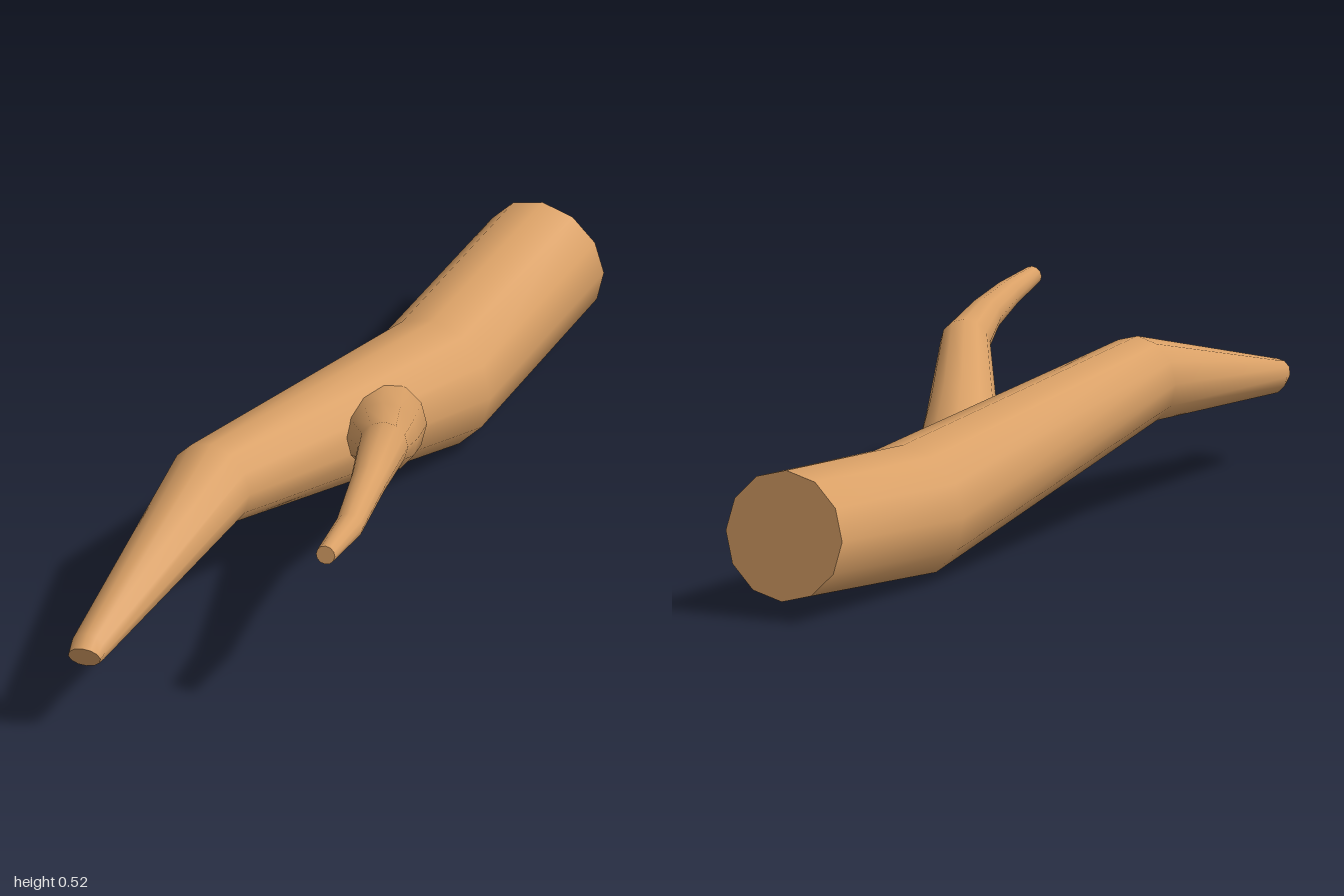
import * as THREE from 'three';

const SIDES = 12;
const bark = new THREE.MeshStandardMaterial({ color: 0xd9a066 });

// Rings are [x, y, z, radius]; each lies in the mitre plane between its neighbours.
// tipTilt leans the last cut downwards (radians).
function createLimb(name, rings, tipTilt = 0) {
  const centres = rings.map(r => new THREE.Vector3(r[0], r[1], r[2]));
  const last = rings.length - 1;
  const up = new THREE.Vector3(0, 1, 0);
  const loops = centres.map((c, i) => {
    const n = new THREE.Vector3();
    if (i > 0) n.add(c.clone().sub(centres[i - 1]).normalize());
    if (i < last) n.add(centres[i + 1].clone().sub(c).normalize());
    n.normalize();
    if (i === last && tipTilt) {
      n.setY(0).normalize().multiplyScalar(Math.cos(tipTilt));
      n.y = -Math.sin(tipTilt);
    }
    const side = up.clone().cross(n).normalize();
    const rise = n.clone().cross(side);
    return Array.from({ length: SIDES }, (_, j) => {
      const a = (j / SIDES) * Math.PI * 2;
      return c.clone()
        .addScaledVector(side, Math.cos(a) * rings[i][3])
        .addScaledVector(rise, Math.sin(a) * rings[i][3]);
    });
  });

  // Smooth skin through all rings
  const index = [];
  for (let i = 0; i < last; i++) {
    for (let j = 0; j < SIDES; j++) {
      const k = (j + 1) % SIDES;
      const a = i * SIDES + j, b = i * SIDES + k;
      index.push(a, b, a + SIDES, b, b + SIDES, a + SIDES);
    }
  }
  const skin = new THREE.BufferGeometry().setFromPoints(loops.flat());
  skin.setIndex(index);
  skin.computeVertexNormals();

  // Flat sawn end, with its own vertices to keep the rim sharp
  const cap = (loop, reverse) => {
    const g = new THREE.BufferGeometry().setFromPoints(loop);
    const tris = [];
    for (let j = 1; j < SIDES - 1; j++) tris.push(0, reverse ? j + 1 : j, reverse ? j : j + 1);
    g.setIndex(tris);
    g.computeVertexNormals();
    return g;
  };

  const limb = new THREE.Group();
  limb.name = name;
  const add = (part, geometry) => {
    const mesh = new THREE.Mesh(geometry, bark);
    mesh.name = name + part;
    limb.add(mesh);
  };
  add('Bark', skin);
  add('BaseCut', cap(loops[0], true));
  add('TipCut', cap(loops[last], false));
  return limb;
}

export function createModel() {
  const model = new THREE.Group();
  model.name = 'fallenBranch';

  // Thick main stem, from the sawn butt to the thin tip
  model.add(createLimb('stem', [
    [0.735, 0.222, -0.9, 0.167],
    [0.335, 0.178, -0.405, 0.172],
    [-0.387, 0.354, 0.31, 0.113],
    [-0.828, 0.24, 0.885, 0.047],
    [-0.846, 0.238, 0.922, 0.042],
  ], 0.55));

  // Side twig growing out of the stem
  model.add(createLimb('twig', [
    [0.148, 0.245, -0.1, 0.108],
    [0.098, 0.322, 0.11, 0.09],
    [0.04, 0.453, 0.385, 0.063],
    [-0.045, 0.474, 0.6, 0.046],
    [-0.145, 0.482, 0.83, 0.036],
    [-0.24, 0.497, 0.99, 0.025],
  ]));

  return model;
}
